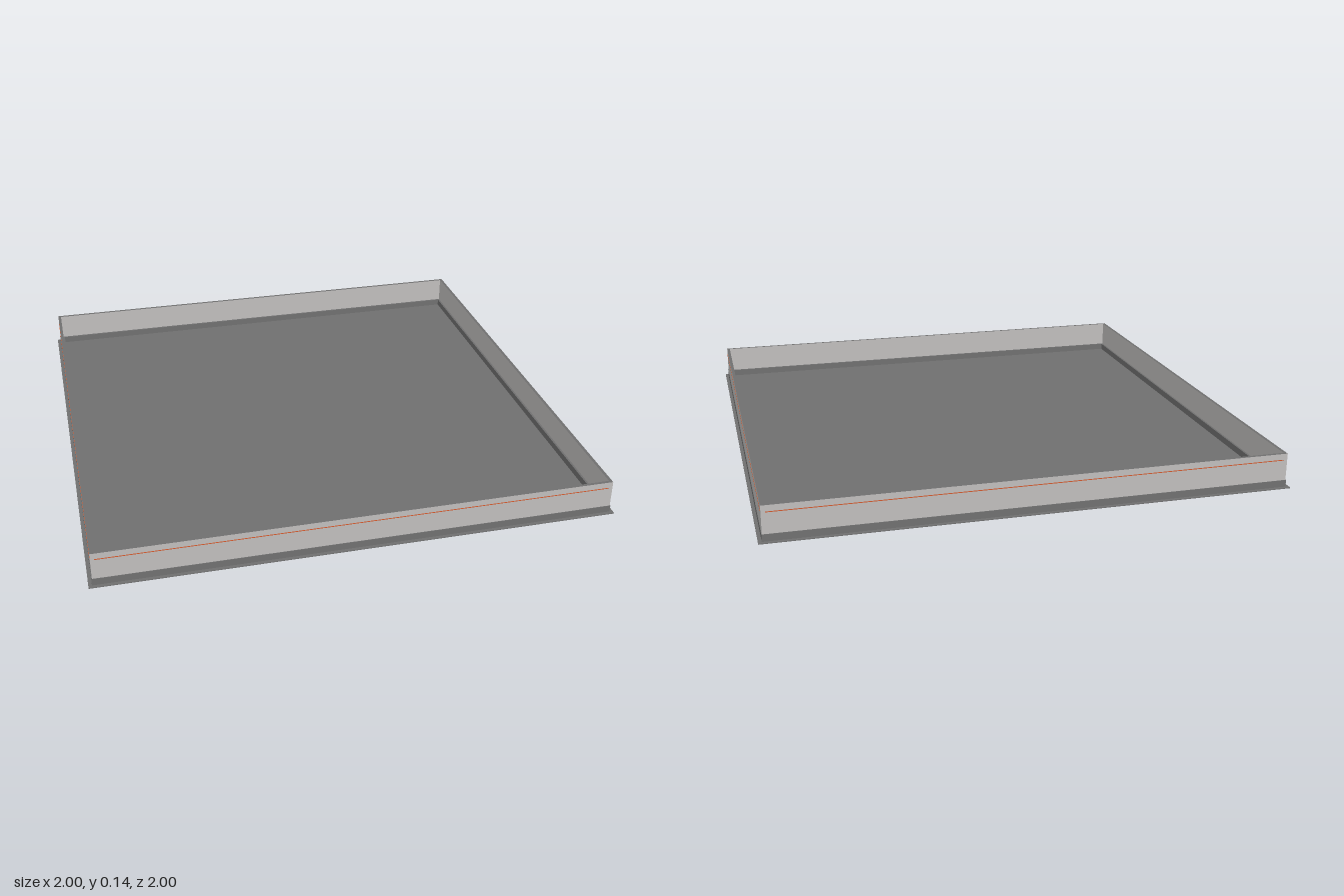
import * as THREE from 'three';

export function createModel() {
  const model = new THREE.Group();
  const mat = (name, color) => {
    const m = new THREE.MeshStandardMaterial({ color });
    m.name = name;
    return m;
  };
  const darkGrey = mat('darkGrey', 0x707070);
  const wallGrey = mat('wallGrey', 0xc0bebd);
  const orange = mat('orange', 0xd2582c);

  const box = (name, w, h, d, material, x, y, z, parent) => {
    const mesh = new THREE.Mesh(new THREE.BoxGeometry(w, h, d), material);
    mesh.name = name;
    mesh.position.set(x, y, z);
    parent.add(mesh);
    return mesh;
  };

  // Thin square floor, reaching a little beyond the walls
  box('floor', 2, 0.003, 2, darkGrey, 0, 0.0015, 0, model);

  // Wall with a dark top face: material order +x, -x, +y, -y, +z, -z
  const wallFaces = [wallGrey, wallGrey, darkGrey, wallGrey, wallGrey, wallGrey];

  // One side of the tray, overlapping its neighbours in a pinwheel
  const half = 0.985, thick = 0.012, height = 0.137;
  const skirtOut = 0.987, skirtIn = 0.965, skirtHeight = 0.03;
  const skirtThick = skirtOut - skirtIn;
  ['front', 'left', 'back', 'right'].forEach((side, i) => {
    const group = new THREE.Group();
    group.name = side + 'Side';
    group.rotation.y = i * Math.PI / 2;

    box('wall', 2 * half - thick, height - 0.003, thick, wallFaces,
      -thick / 2, (height + 0.003) / 2, half - thick / 2, group);
    // Skirting that wraps the foot of the wall inside and out
    box('skirting', 2 * skirtOut - skirtThick, skirtHeight - 0.002, skirtThick, darkGrey,
      -skirtThick / 2, (skirtHeight + 0.002) / 2, skirtOut - skirtThick / 2, group);
    // Hairline trim near the top of the outer face
    box('trimLine', 1.94, 0.003, 0.002, orange, 0, 0.112, half, group);

    model.add(group);
  });

  return model;
}
